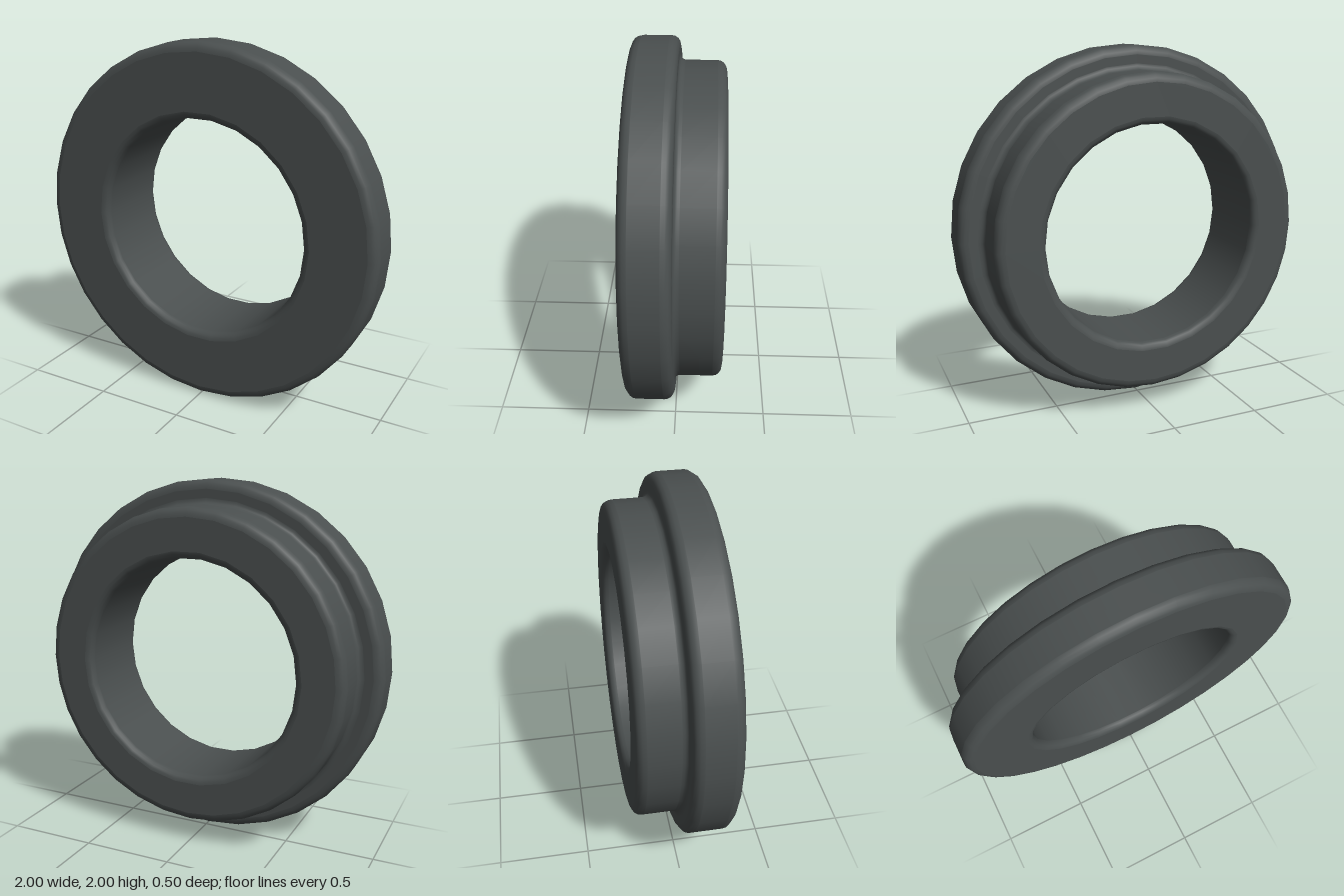
import * as THREE from 'three';

const OUTER_SEGMENTS = 32;
const BORE_SEGMENTS = 26;

// Quarter-round fillet in (radius, z); tiny lead-in points keep neighbouring faces flat
function fillet(r, z, size, from, to, lead = true) {
  const steps = 4, pts = [];
  for (let i = 0; i <= steps; i++) {
    const a = from + (to - from) * i / steps;
    pts.push(new THREE.Vector2(r + size * Math.cos(a), z + size * Math.sin(a)));
  }
  if (lead) {
    const dir = Math.sign(to - from) * 0.002;
    const shift = (p, a, s) => new THREE.Vector2(p.x - Math.sin(a) * dir * s, p.y + Math.cos(a) * dir * s);
    pts.unshift(shift(pts[0], from, -1));
    pts.push(shift(pts[pts.length - 1], to, 1));
  }
  return pts;
}

// Lathe around the z axis
function turned(points, segments) {
  return new THREE.LatheGeometry(points, segments, Math.PI / 2).rotateX(Math.PI / 2);
}

function polygon(path, radius, segments) {
  const pts = [];
  for (let i = 0; i < segments; i++) {
    const a = i / segments * Math.PI * 2;
    pts.push(new THREE.Vector2(radius * Math.cos(a), radius * Math.sin(a)));
  }
  return path.setFromPoints(pts);
}

function annulus(outer, inner) {
  const shape = polygon(new THREE.Shape(), outer, OUTER_SEGMENTS);
  shape.holes.push(polygon(new THREE.Path(), inner, BORE_SEGMENTS));
  return new THREE.ShapeGeometry(shape);
}

export function createModel() {
  const group = new THREE.Group();
  const darkGrey = new THREE.MeshStandardMaterial({ color: 0x4a4f4f });
  darkGrey.name = 'darkGrey';
  const add = (name, geometry) => {
    const mesh = new THREE.Mesh(geometry, darkGrey);
    mesh.name = name;
    mesh.position.y = 1;
    group.add(mesh);
  };
  const H = Math.PI / 2;

  // Outside: hub at the back, concave root, wide flange at the front
  add('hubAndFlange', turned([
    ...fillet(0.82, -0.2, 0.05, -H, 0).slice(1),
    ...fillet(0.9, -0.03, 0.03, Math.PI, H),
    ...fillet(0.95, 0.05, 0.05, -H, 0),
    ...fillet(0.95, 0.2, 0.05, 0, H).slice(0, -1),
  ], OUTER_SEGMENTS));

  // Bore with rounded mouths
  add('bore', turned([
    ...fillet(0.645, 0.21, 0.04, H, Math.PI).slice(1),
    ...fillet(0.645, -0.21, 0.04, Math.PI, 3 * H).slice(0, -1),
  ], BORE_SEGMENTS));

  // Flat end faces
  add('frontFace', annulus(0.95, 0.645).translate(0, 0, 0.25));
  add('backFace', annulus(0.82, 0.645).rotateY(Math.PI).translate(0, 0, -0.25));

  return group;
}
